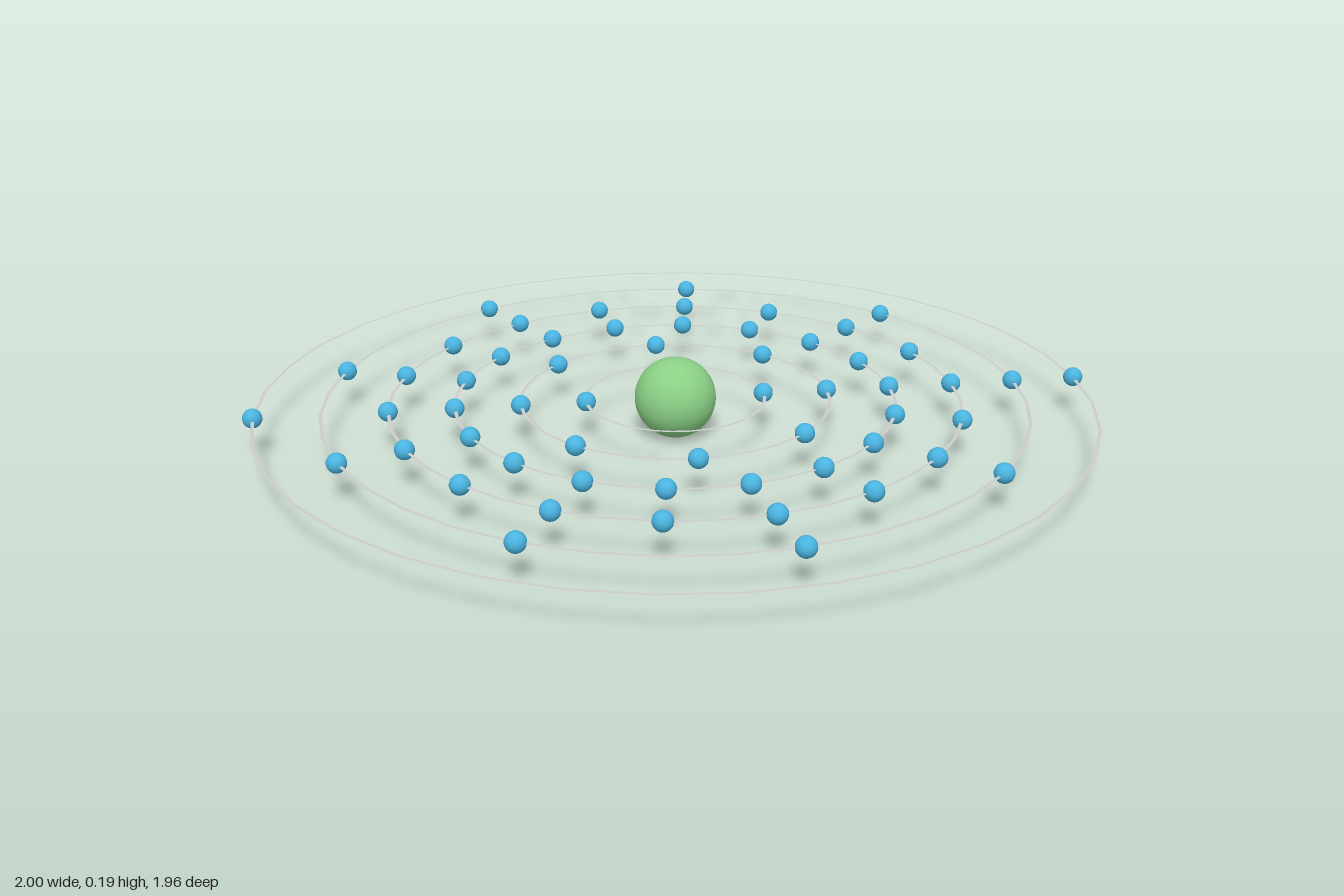
import * as THREE from 'three';

const NUCLEUS_RADIUS = 0.096;
const ELECTRON_RADIUS = 0.023;
const FIRST_ORBIT = 0.211;
const ORBIT_GAP = 0.1533;
const ORBIT_WIDTH = 0.008;
const SHELLS = [2, 8, 18, 18, 9, 2]; // electrons per orbit, inside out

function material(name, color, options = {}) {
  const m = new THREE.MeshStandardMaterial({ color, ...options });
  m.name = name;
  return m;
}

export function createModel() {
  const model = new THREE.Group();
  model.name = 'atomModel';

  const green = material('nucleusGreen', 0x8ad086);
  const blue = material('electronBlue', 0x4ab4e0);
  const grey = material('orbitGrey', 0xcccccc, { side: THREE.DoubleSide });

  // Everything lies in one level plane through the nucleus
  const atom = new THREE.Group();
  atom.name = 'atom';
  atom.position.y = NUCLEUS_RADIUS + 0.002;
  model.add(atom);

  // Central ball
  const nucleus = new THREE.Mesh(new THREE.SphereGeometry(NUCLEUS_RADIUS, 32, 24), green);
  nucleus.name = 'nucleus';
  atom.add(nucleus);

  // Flat orbit rings with evenly spaced electrons, the first on +x
  const electronGeometry = new THREE.SphereGeometry(ELECTRON_RADIUS, 16, 12);
  SHELLS.forEach((count, i) => {
    const radius = FIRST_ORBIT + i * ORBIT_GAP;
    const shell = new THREE.Group();
    shell.name = `shell${i + 1}`;

    const ringGeometry = new THREE.RingGeometry(
      radius - ORBIT_WIDTH / 2, radius + ORBIT_WIDTH / 2, 36);
    ringGeometry.rotateX(-Math.PI / 2);
    const orbit = new THREE.Mesh(ringGeometry, grey);
    orbit.name = 'orbit';
    shell.add(orbit);

    for (let k = 0; k < count; k++) {
      const angle = (k / count) * Math.PI * 2;
      const electron = new THREE.Mesh(electronGeometry, blue);
      electron.name = 'electron';
      electron.position.set(Math.cos(angle) * radius, 0, Math.sin(angle) * radius);
      shell.add(electron);
    }
    atom.add(shell);
  });

  return model;
}
